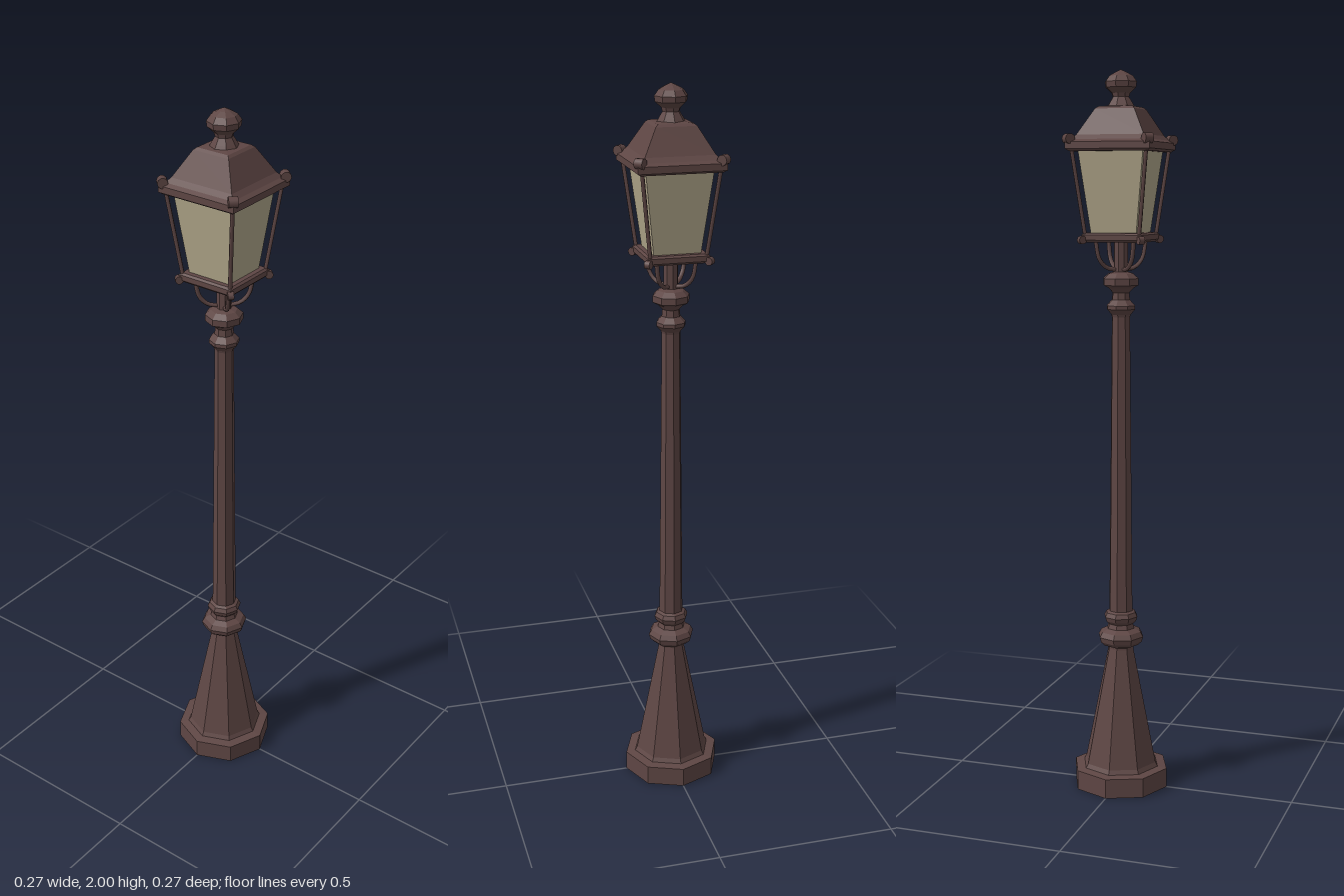
import * as THREE from 'three';

const metal = new THREE.MeshStandardMaterial({ color: 0x5e4644 });
const glass = new THREE.MeshStandardMaterial({ color: 0xb0a68a });

// Faceted turned solid from [radius, height] pairs
function turned(name, pairs, sides, material = metal, phase = 0) {
  const points = pairs.map(([r, y]) => new THREE.Vector2(r, y));
  const geometry = new THREE.LatheGeometry(points, sides, phase).toNonIndexed();
  geometry.computeVertexNormals();
  const mesh = new THREE.Mesh(geometry, material);
  mesh.name = name;
  return mesh;
}

// Square solid from [half width, height] pairs
function square(name, pairs, material = metal) {
  return turned(name, pairs.map(([h, y]) => [h * Math.SQRT2, y]), 4, material, Math.PI / 4);
}

// Round bar along a smooth path; d is the diagonal corner position on x and z
function bar(name, path, radius, segments) {
  const curve = new THREE.CatmullRomCurve3(path.map(([d, y]) => new THREE.Vector3(d, y, d)));
  const mesh = new THREE.Mesh(new THREE.TubeGeometry(curve, segments, radius, 6), metal);
  mesh.name = name;
  return mesh;
}

// Rolled scroll lying across a lantern corner
function scroll(name, d, y, radius, length) {
  const mesh = new THREE.Mesh(new THREE.CylinderGeometry(radius, radius, length, 10), metal);
  mesh.name = name;
  mesh.position.set(d, y, d);
  mesh.rotation.set(0, Math.PI / 4, Math.PI / 2);
  return mesh;
}

export function createModel() {
  const model = new THREE.Group();
  model.name = 'streetLamp';

  // Octagonal foot and tapered pedestal
  model.add(turned('foot', [[0, 0], [0.137, 0], [0.137, 0.055], [0.112, 0.058], [0, 0.058]], 8));
  model.add(turned('pedestal', [[0.112, 0.055], [0.104, 0.07], [0.037, 0.4], [0.037, 0.42]], 8));

  // Collars at the bottom of the shaft
  model.add(turned('lowerCollar', [[0.033, 0.405], [0.05, 0.411], [0.062, 0.422], [0.066, 0.436],
    [0.058, 0.45], [0.04, 0.459], [0.036, 0.472], [0.045, 0.481], [0.049, 0.493],
    [0.043, 0.505], [0.03, 0.512]], 8));

  // Long shaft
  model.add(turned('shaft', [[0.035, 0.46], [0.034, 0.52], [0.026, 1.35]], 8));

  // Collars at the top of the shaft
  model.add(turned('upperCollar', [[0.025, 1.335], [0.028, 1.345], [0.041, 1.36], [0.041, 1.37],
    [0.026, 1.386], [0.024, 1.405], [0.036, 1.418], [0.051, 1.426], [0.051, 1.444],
    [0.036, 1.457], [0.02, 1.462], [0, 1.462]], 8));
  model.add(turned('stem', [[0.02, 1.455], [0.02, 1.55]], 8));

  // Lantern tray, glass and roof
  model.add(square('tray', [[0, 1.543], [0.078, 1.543], [0.084, 1.549], [0.084, 1.563],
    [0.078, 1.568], [0, 1.568]]));
  model.add(square('glass', [[0.064, 1.566], [0.091, 1.788]], glass));
  model.add(square('roof', [[0, 1.784], [0.109, 1.784], [0.118, 1.79], [0.118, 1.808],
    [0.106, 1.815], [0.094, 1.827], [0.055, 1.896], [0.048, 1.902], [0, 1.908]]));

  // Finial
  model.add(turned('finial', [[0.04, 1.9], [0.033, 1.912], [0.023, 1.928], [0.026, 1.938],
    [0.043, 1.953], [0.045, 1.968], [0.034, 1.983], [0.016, 1.993], [0, 2]], 8));

  // Posts, brackets and scrolls at the four corners
  for (let i = 0; i < 4; i++) {
    const corner = new THREE.Group();
    corner.name = 'lanternCorner';
    corner.rotation.y = i * Math.PI / 2;
    corner.add(bar('cornerPost', [[0.076, 1.56], [0.104, 1.79]], 0.0055, 1));
    corner.add(bar('bracket', [[0.01, 1.468], [0.03, 1.474], [0.046, 1.497], [0.054, 1.548]], 0.006, 10));
    corner.add(scroll('roofScroll', 0.11, 1.816, 0.014, 0.024));
    corner.add(scroll('trayScroll', 0.083, 1.549, 0.011, 0.016));
    model.add(corner);
  }
  return model;
}
